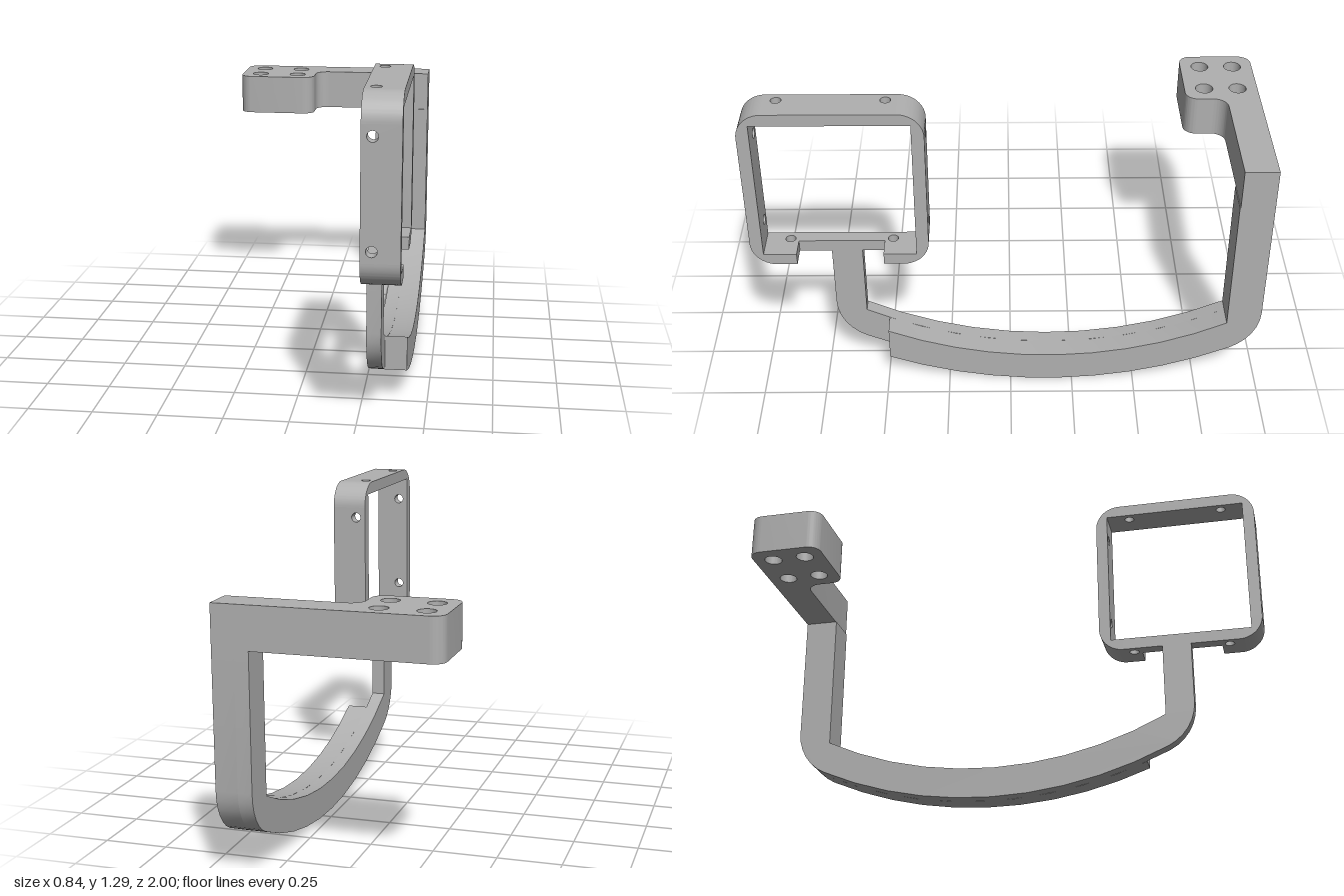
import * as THREE from 'three';
import { toCreasedNormals } from 'three/addons/utils/BufferGeometryUtils.js';

const X0 = 0.28, XM = 0.335, X1 = 0.42; // strip sides and depth of the recess

export function createModel() {
  const model = new THREE.Group();
  const grey = new THREE.MeshStandardMaterial({ color: 0xb0b0b0 });
  grey.name = 'matte grey';

  const extrude = (shape, depth) =>
    new THREE.ExtrudeGeometry(shape, { depth, bevelEnabled: false, curveSegments: 12 });
  const add = (parent, name, geo) => {
    const mesh = new THREE.Mesh(toCreasedNormals(geo, 0.5), grey);
    mesh.name = name;
    parent.add(mesh);
    return mesh;
  };
  // Extrudes a (z, y) profile sideways between two x positions
  const sideways = (shape, xa, xb) =>
    extrude(shape, xb - xa).rotateY(-Math.PI / 2).translate(xb, 0, 0);
  // Extrudes an (x, -z) plan upwards from height y
  const upwards = (shape, y, height) =>
    extrude(shape, height).rotateX(-Math.PI / 2).translate(0, y, 0);
  const hole = (shape, x, y, r) =>
    shape.holes.push(new THREE.Path().absarc(x, y, r, 0, Math.PI * 2, true));

  // Curved arm: concentric arcs with rounded outer corners
  const zc = -0.15, yc = 1.745, R = 1.745, Ri = 1.619, r = 0.2, off = 0.65;
  const fy = yc - Math.sqrt((R - r) ** 2 - off ** 2);
  const tangent = Math.asin(off / (R - r));
  const arc = (cz, cy, rad, a, b, n) => Array.from({ length: n + 1 }, (_, i) => {
    const t = a + (b - a) * i / n;
    return new THREE.Vector2(cz + rad * Math.sin(t), cy - rad * Math.cos(t));
  });
  const armProfile = (full) => {
    const cut = 0.49 - zc;
    const outerEnd = full ? tangent : Math.asin(cut / R);
    const innerEnd = Math.asin((full ? 0.73 : cut) / Ri);
    const pts = [
      new THREE.Vector2(-1, 0.865),
      ...arc(zc - off, fy, r, -Math.PI / 2, -tangent, 6),
      ...arc(zc, yc, R, -tangent, outerEnd, 10).slice(1),
    ];
    if (full) pts.push(
      ...arc(zc + off, fy, r, tangent, Math.PI / 2, 6).slice(1),
      new THREE.Vector2(0.7, 0.605), new THREE.Vector2(0.58, 0.605));
    pts.push(...arc(zc, yc, Ri, innerEnd, -Math.asin(0.715 / Ri), 10),
      new THREE.Vector2(-0.865, 0.865));
    return new THREE.Shape(pts);
  };
  const arm = new THREE.Group();
  arm.name = 'curvedArm';
  model.add(arm);
  add(arm, 'armWithPost', sideways(armProfile(true), X0, XM));
  add(arm, 'armRecessedSide', sideways(armProfile(false), XM, X1));

  // Mounting plate with rounded pad and four bolt holes
  const plate = new THREE.Shape();
  const c = 0.05, padX = -0.09, padZ = 0.705, barZ = 0.868, f = 0.055;
  plate.moveTo(X1, 1);
  plate.lineTo(-0.42 + c, 1);
  plate.absarc(-0.42 + c, 1 - c, c, Math.PI / 2, Math.PI, false);
  plate.absarc(-0.42 + c, padZ + c, c, Math.PI, Math.PI * 1.5, false);
  plate.absarc(padX - c, padZ + c, c, -Math.PI / 2, 0, false);
  plate.absarc(padX + f, barZ - f, f, Math.PI, Math.PI / 2, true);
  plate.lineTo(X1, barZ);
  for (const x of [-0.34, -0.17]) for (const z of [0.92, 0.785]) hole(plate, x, z, 0.035);
  add(model, 'mountingPlate', upwards(plate, 0.865, 0.165));

  // Square frame: four drilled walls and four rounded corners
  const frame = new THREE.Group();
  frame.name = 'squareFrame';
  frame.position.set(0, 0.9475, 0.6575);
  model.add(frame);
  const half = 0.3425, thick = 0.048, cr = 0.1, w = half - cr;
  const corner = new THREE.Shape();
  corner.moveTo(-w, -half);
  corner.lineTo(-w, -half + thick);
  corner.lineTo(-half + thick, -half + thick);
  corner.lineTo(-half + thick, -w);
  corner.lineTo(-half, -w);
  corner.absarc(-w, -w, cr, Math.PI, Math.PI * 1.5, false);

  ['bottom', 'front', 'top', 'back'].forEach((side, i) => {
    const wall = new THREE.Shape();
    wall.moveTo(X0, -w);
    wall.lineTo(X1, -w);
    if (side === 'bottom') { // clearance notch beside the post
      wall.lineTo(X1, -0.1675);
      wall.lineTo(XM, -0.1675);
      wall.lineTo(XM, 0.1675);
      wall.lineTo(X1, 0.1675);
    }
    wall.lineTo(X1, w);
    wall.lineTo(X0, w);
    for (const s of [-0.2, 0.2]) hole(wall, 0.32, s, 0.02);
    const turn = -i * Math.PI / 2;
    add(frame, side + 'FrameWall', upwards(wall, -half, thick)).rotation.x = turn;
    add(frame, side + 'FrameCorner', sideways(corner, X0, X1)).rotation.x = turn;
  });

  return model;
}
